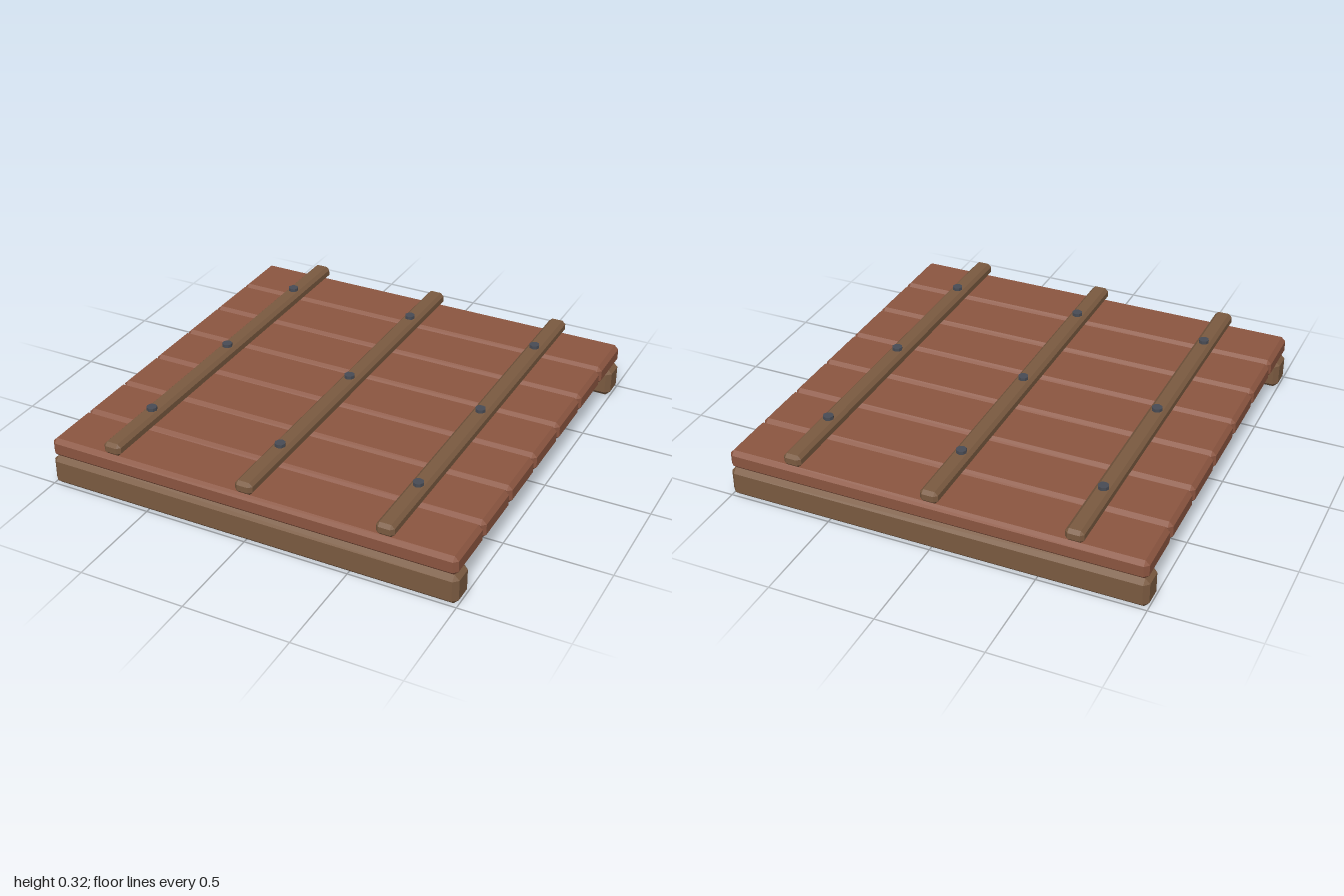
import * as THREE from 'three';
import { ConvexGeometry } from 'three/addons/geometries/ConvexGeometry.js';

// Box with every edge and corner cut off at 45 degrees
function chamferBox(w, h, d, c) {
  const points = [];
  for (const sx of [-1, 1]) for (const sy of [-1, 1]) for (const sz of [-1, 1]) {
    const x = w / 2, y = h / 2, z = d / 2;
    points.push(
      new THREE.Vector3(sx * x, sy * (y - c), sz * (z - c)),
      new THREE.Vector3(sx * (x - c), sy * y, sz * (z - c)),
      new THREE.Vector3(sx * (x - c), sy * (y - c), sz * z));
  }
  return new ConvexGeometry(points);
}

export function createModel() {
  const model = new THREE.Group();
  model.name = 'woodenFloorPanel';

  const material = (name, color) => {
    const m = new THREE.MeshStandardMaterial({ color });
    m.name = name;
    return m;
  };
  const redWood = material('red plank wood', 0x8b5540);
  const brownWood = material('brown beam wood', 0x7a5a40);
  const iron = material('dark iron', 0x484b54);

  const add = (name, geometry, mat, x, y, z) => {
    const mesh = new THREE.Mesh(geometry, mat);
    mesh.name = name;
    mesh.position.set(x, y, z);
    model.add(mesh);
  };

  // Seven deck planks side by side
  const pitch = 2 / 7;
  const plank = chamferBox(1.99, 0.092, pitch - 0.002, 0.02);
  for (let i = 0; i < 7; i++) add('plank', plank, redWood, 0, 0.194, (i - 3) * pitch);

  // Front and back beams under the deck
  const beam = chamferBox(2, 0.145, 0.13, 0.023);
  for (const z of [-0.935, 0.935]) add('crossBeam', beam, brownWood, 0, 0.0735, z);

  // Joists below, battens with bolts above
  const joist = new THREE.BoxGeometry(0.13, 0.127, 1.78);
  const batten = chamferBox(0.086, 0.06, 2, 0.016);
  const bolt = new THREE.CylinderGeometry(0.025, 0.025, 0.03, 8).toNonIndexed();
  bolt.computeVertexNormals();
  for (const x of [-0.667, 0, 0.667]) {
    add('joist', joist, brownWood, x, 0.0835, 0);
    add('batten', batten, brownWood, x, 0.275, 0);
    for (const z of [-0.667, 0, 0.667]) add('bolt', bolt, iron, x, 0.306, z);
  }

  return model;
}
